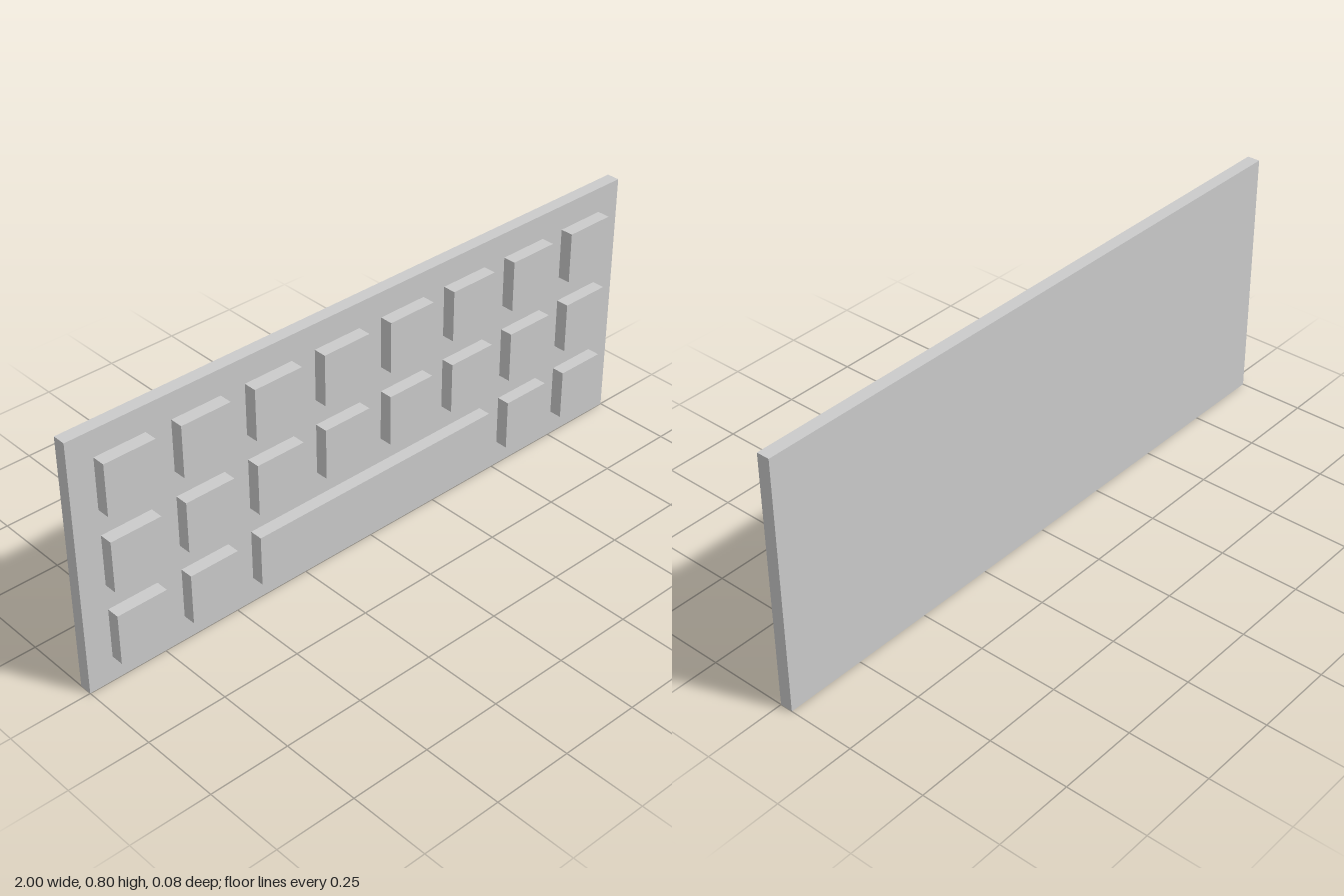
import * as THREE from 'three';

const KEY = 0.16;    // key side length
const PITCH = 0.24;  // distance between key centres
const DEPTH = 0.04;  // thickness of the plate and of the keys

export function createModel() {
  const model = new THREE.Group();
  model.name = 'keyboard';
  const material = new THREE.MeshStandardMaterial({ color: 0xcccccc, flatShading: true });

  const addBox = (name, width, height, x, y, z) => {
    const mesh = new THREE.Mesh(new THREE.BoxGeometry(width, height, DEPTH), material);
    mesh.name = name;
    mesh.position.set(x, y, z);
    model.add(mesh);
  };

  // Backing plate, standing upright
  addBox('basePlate', 2, 0.8, 0, 0.4, -DEPTH / 2);

  // Three rows of eight keys; the bottom row leaves room for the space bar
  for (let row = 0; row < 3; row++) {
    for (let col = 0; col < 8; col++) {
      if (row === 0 && col >= 2 && col <= 5) continue;
      addBox('key', KEY, KEY, (col - 3.5) * PITCH, 0.16 + row * PITCH, DEPTH / 2);
    }
  }

  // Space bar, spanning four key columns
  addBox('spaceBar', 3 * PITCH + KEY, KEY, 0, 0.16, DEPTH / 2);

  return model;
}
